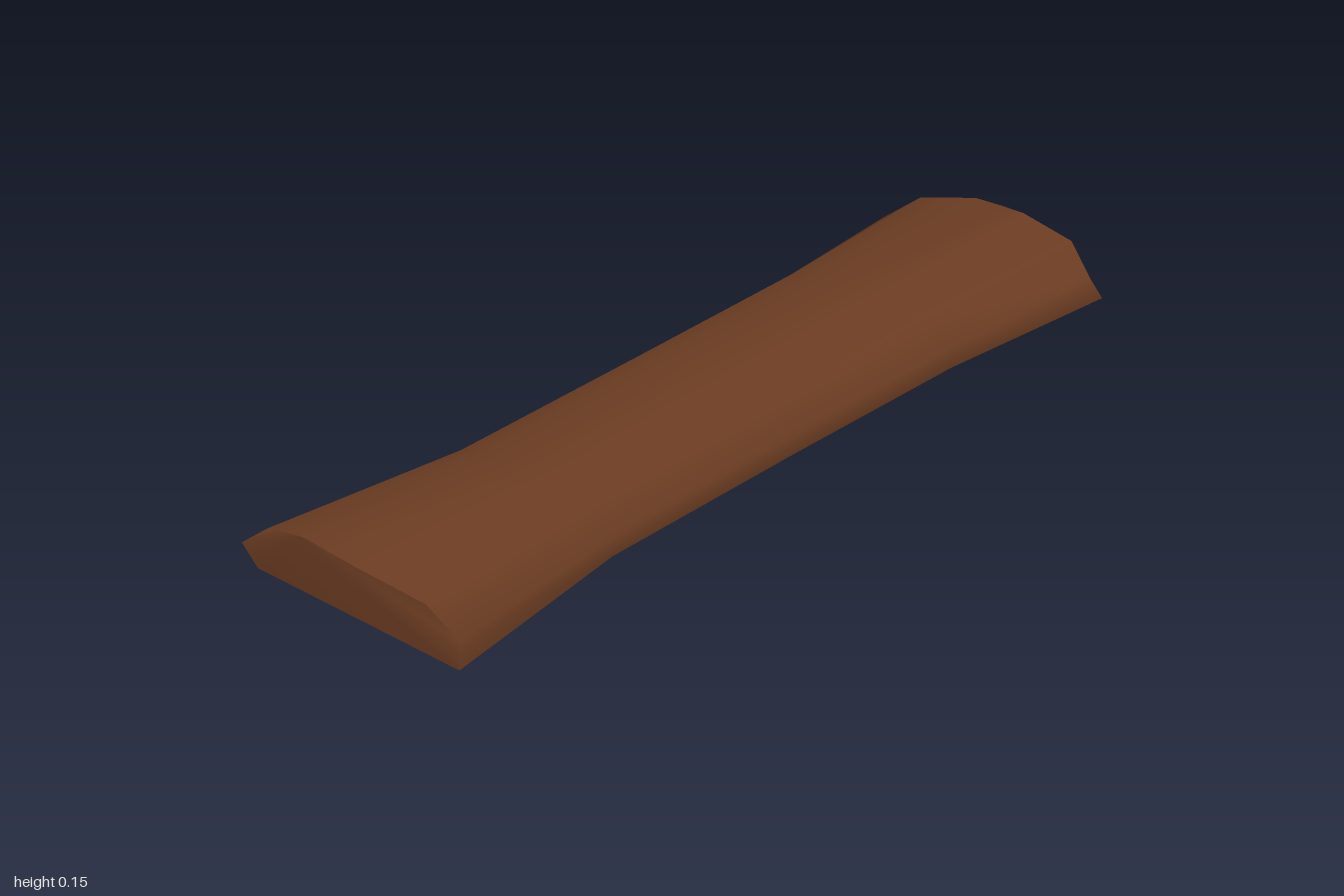
import * as THREE from 'three';

// Ragged end outlines, from the right foot over the top to the left foot: [x, y, z]
const backRim = [
  [-0.277, 0.003, -0.95], [-0.28, 0.063, -0.91], [-0.21, 0.116, -0.955], [-0.14, 0.126, -0.98], [-0.09, 0.132, -1],
  [0, 0.142, -0.978], [0.066, 0.15, -0.955], [0.195, 0.12, -0.95], [0.275, 0.068, -0.905], [0.28, 0.008, -0.952],
];
const frontRim = [
  [-0.24, 0.01, 0.972], [-0.26, 0.06, 0.985], [-0.2, 0.105, 0.975], [-0.13, 0.127, 0.985], [-0.075, 0.145, 1],
  [-0.02, 0.139, 1], [0.06, 0.131, 0.995], [0.18, 0.098, 0.965], [0.255, 0.06, 0.968], [0.26, 0.01, 0.975],
];

// Regular cross-section of the narrow middle, scaled by half width and height
const section = [
  [-0.97, 0], [-1, 0.4], [-0.76, 0.77], [-0.5, 0.91], [-0.28, 0.98],
  [0, 1], [0.28, 0.98], [0.72, 0.78], [1, 0.4], [0.98, 0],
];
const ring = (z, halfWidth, top) =>
  section.map(([x, y]) => [x * halfWidth, 0.012 + y * (top - 0.012), z]);

function surface(points, index, material, name) {
  const g = new THREE.BufferGeometry();
  g.setAttribute('position', new THREE.Float32BufferAttribute(points.flat(), 3));
  g.setIndex(index);
  g.computeVertexNormals();
  const mesh = new THREE.Mesh(g, material);
  mesh.name = name;
  return mesh;
}

// End face: a fan from the furthest point of the rim
function endFace(rim, front, material, name) {
  const apex = 4, index = [];
  for (let j = 0; j < rim.length; j++) {
    const k = (j + 1) % rim.length;
    if (j === apex || k === apex) continue;
    index.push(apex, ...(front ? [k, j] : [j, k]));
  }
  return surface(rim, index, material, name);
}

export function createModel() {
  const group = new THREE.Group();
  group.name = 'barkPiece';
  const bark = new THREE.MeshStandardMaterial({ color: 0x6b3c22, side: THREE.DoubleSide });
  bark.name = 'barkBrown';

  // Arched shell, open underneath
  const rings = [backRim, ring(-0.45, 0.236, 0.135), ring(0.05, 0.221, 0.13), ring(0.55, 0.213, 0.122), frontRim];
  const n = section.length, index = [];
  for (let s = 0; s < rings.length - 1; s++) {
    for (let i = 0; i < n - 1; i++) {
      const a = s * n + i, b = a + 1, c = a + n, d = c + 1;
      index.push(a, c, b, b, c, d);
    }
  }
  group.add(surface(rings.flat(), index, bark, 'shell'));

  // Broken ends
  group.add(endFace(frontRim, true, bark, 'frontEnd'));
  group.add(endFace(backRim, false, bark, 'backEnd'));
  return group;
}
